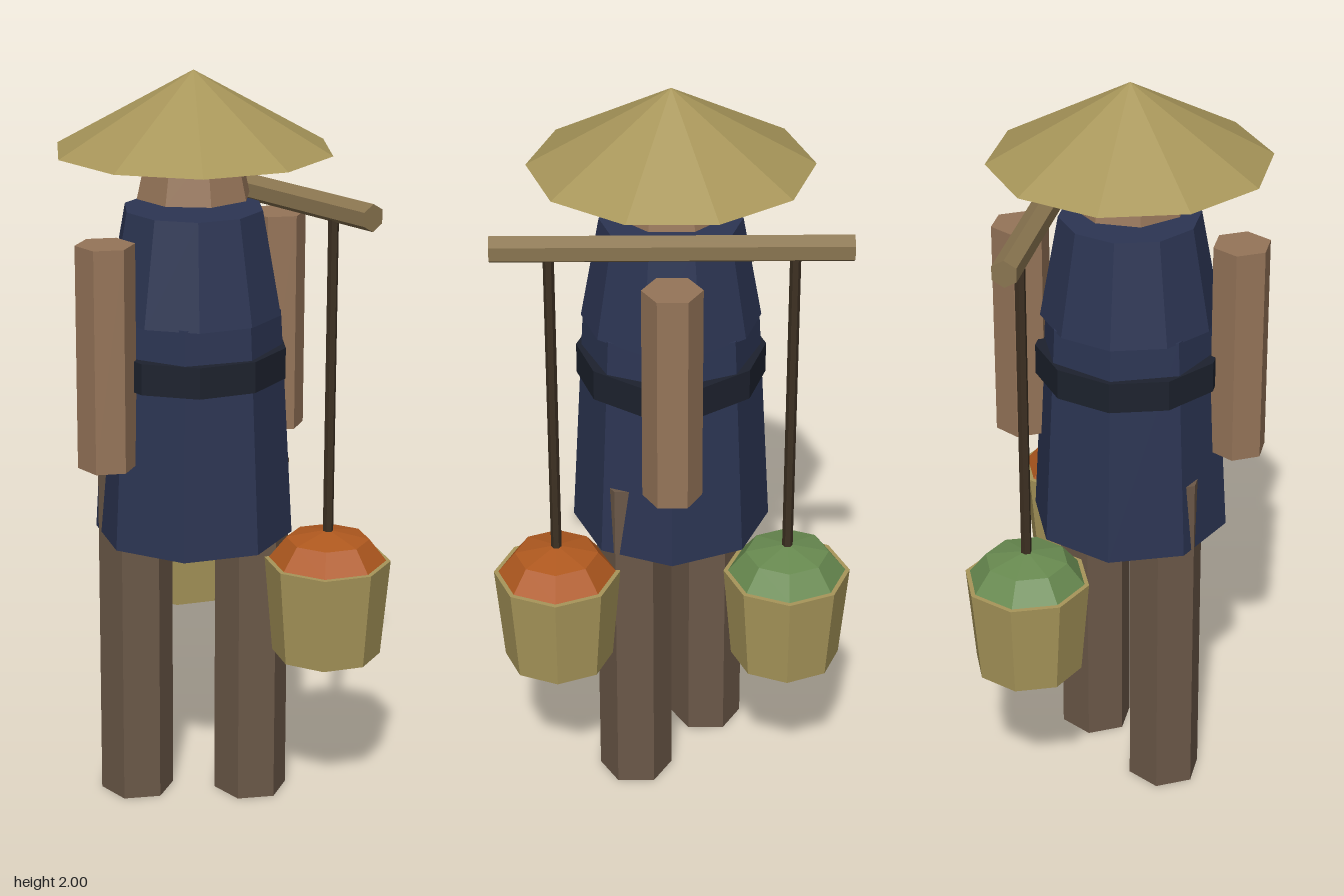
import * as THREE from 'three';

const mat = (color) => new THREE.MeshStandardMaterial({ color, flatShading: true });

export function createModel() {
  const model = new THREE.Group();
  const straw = mat(0xa8965a), skin = mat(0x967559), cloth = mat(0x2c3553), sash = mat(0x1d222e);
  const trousers = mat(0x6b5848), wood = mat(0x8a7550), cord = mat(0x3d3022);
  const orange = mat(0xb0591f), green = mat(0x688a50);
  const cx = -0.01; // the figure stands slightly beside the centre

  // Upright faceted column from y0 to y1, first corner facing +z unless turned
  function column(name, material, sides, r0, r1, y0, y1, x, z = 0, turn = 0, parent = model) {
    const geo = new THREE.CylinderGeometry(r1, r0, y1 - y0, sides, 1, false, turn);
    const mesh = new THREE.Mesh(geo, material);
    mesh.name = name;
    mesh.position.set(x, (y0 + y1) / 2, z);
    parent.add(mesh);
    return mesh;
  }

  // Head and hat
  column('hat', straw, 10, 0.365, 0, 1.795, 2, cx);
  column('head', skin, 8, 0.152, 0.122, 1.675, 1.81, cx, 0, Math.PI / 8);

  // Robe
  column('robeTop', cloth, 10, 0.234, 0.184, 1.37, 1.645, cx);
  column('robeSkirt', cloth, 8, 0.264, 0.229, 0.76, 1.375, cx);
  column('belt', sash, 10, 0.248, 0.248, 1.2, 1.283, cx);

  // Limbs, with the left leg stepping forward
  for (const [side, s] of [['left', 1], ['right', -1]]) {
    column(side + 'Arm', skin, 6, 0.077, 0.077, 1.0, 1.59, cx + s * 0.29);
    column(side + 'Leg', trousers, 6, 0.1, 0.1, 0, 0.955, cx + s * 0.12, s * 0.1);
  }

  // Carrying pole over the left shoulder
  const pole = column('carryingPole', wood, 6, 0.036, 0.036, -0.45, 0.45, 0.2);
  pole.position.y = 1.664;
  pole.rotation.x = Math.PI / 2;

  // Hanging baskets with heaped loads
  for (const [name, z, load] of [['front', 0.305, orange], ['back', -0.305, green]]) {
    const group = new THREE.Group();
    group.name = name + 'Load';
    group.position.set(0.2, 0, z);
    model.add(group);
    column('rope', cord, 6, 0.014, 0.014, 0.77, 1.66, 0, 0, 0, group);
    column('basket', straw, 8, 0.145, 0.168, 0.445, 0.71, 0, 0, 0, group);
    const heap = new THREE.Mesh(new THREE.SphereGeometry(0.156, 8, 2, 0, Math.PI * 2, 0, Math.PI / 2), load);
    heap.name = 'heap';
    heap.scale.y = 0.53;
    heap.position.y = 0.711;
    group.add(heap);
  }
  return model;
}
